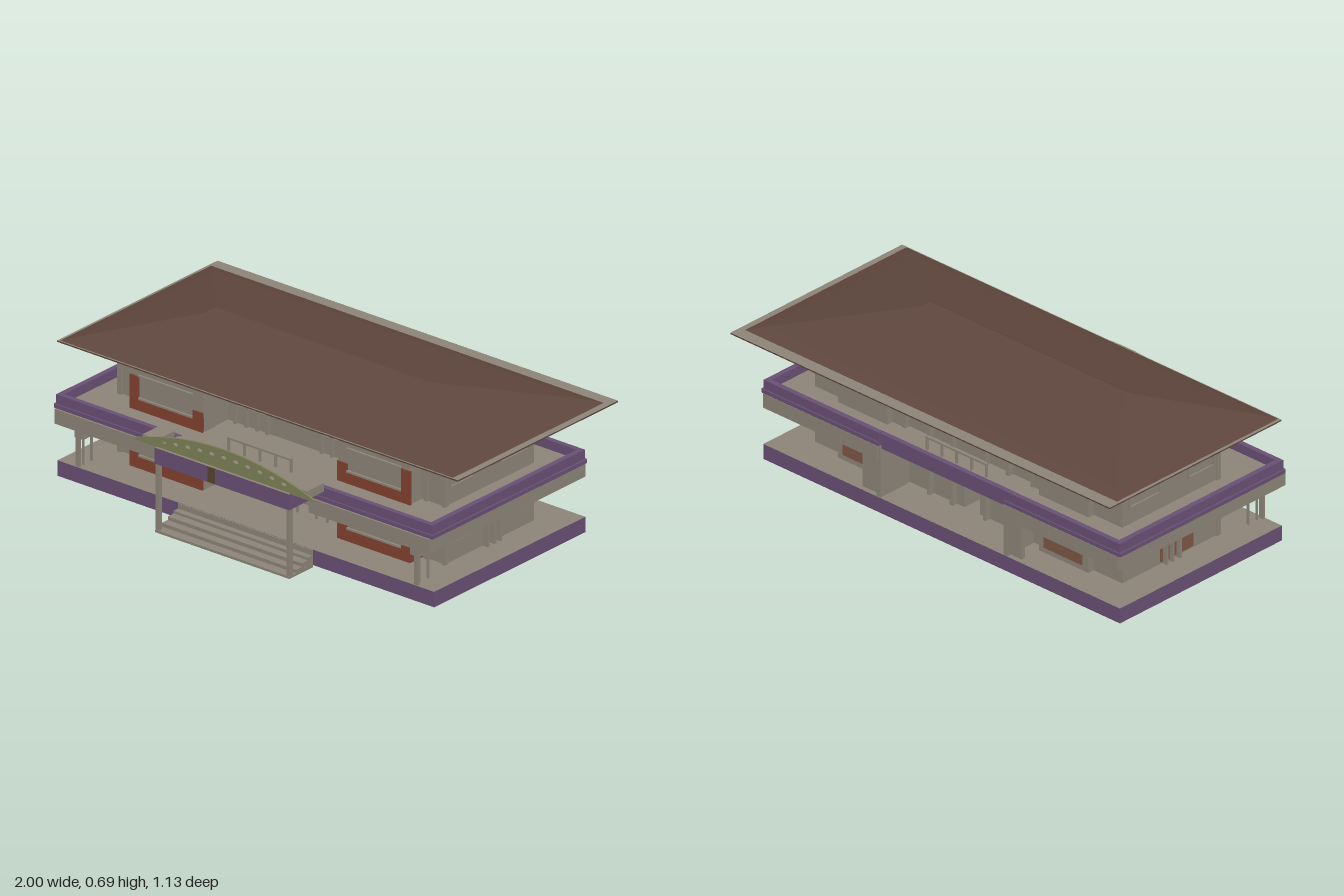
import * as THREE from 'three';

export function createModel() {
  const mat = (name, color, side = THREE.FrontSide) => {
    const m = new THREE.MeshStandardMaterial({ color, side });
    m.name = name;
    return m;
  };
  const stone = mat('stone grey', 0x8c8478);
  const purple = mat('purple trim', 0x694f74);
  const red = mat('brick red', 0x82402f);
  const brown = mat('roof brown', 0x5e463d, THREE.DoubleSide);
  const olive = mat('olive arch', 0x7d8158);
  const rust = mat('rust panel', 0x7e5645);
  const bark = mat('dark brown', 0x57432f);

  const model = new THREE.Group();
  model.name = 'villa';
  // The storeys sit slightly off the centre of the roof
  const house = new THREE.Group();
  house.name = 'house';
  house.position.x = -0.033;
  model.add(house);

  const add = (name, geo, m, parent = house) => {
    const mesh = new THREE.Mesh(geo, m);
    mesh.name = name;
    parent.add(mesh);
    return mesh;
  };
  // Box given by its extents
  const box = (name, m, x0, x1, y0, y1, z0, z1, parent = house) => {
    const mesh = add(name, new THREE.BoxGeometry(x1 - x0, y1 - y0, z1 - z0), m, parent);
    mesh.position.set((x0 + x1) / 2, (y0 + y1) / 2, (z0 + z1) / 2);
    return mesh;
  };
  // Same box on the left and the right
  const pair = (name, m, x0, x1, ...rest) => {
    box(name + 'Left', m, x0, x1, ...rest);
    box(name + 'Right', m, -x1, -x0, ...rest);
  };
  const banded = [purple, purple, stone, stone, purple, purple];

  // Plinth and front steps
  box('plinth', banded, -0.94, 0.94, 0.01, 0.075, -0.48, 0.42);
  box('plinthFrontPanel', stone, -0.335, 0.335, 0.01, 0.074, 0.418, 0.425);
  [[0.052, 0.45], [0.04, 0.485], [0.025, 0.52], [0.01, 0.56]].forEach(([h, z], i) =>
    box('step' + i, stone, -0.335, 0.335, 0, h, 0.42, z));

  // One storey of walls between y0 and y1
  const storey = (label, y0, y1, lower) => {
    const n = (s) => label + s;
    pair(n('SideWall'), stone, 0.34, 0.81, y0, y1, -0.33, 0.2);
    pair(n('CentreWall'), stone, lower ? 0.04 : 0, 0.34, y0, y1, -0.31, 0.12);
    if (lower) box('passageLintel', stone, -0.04, 0.04, 0.2, y1, -0.31, 0.12);

    // Front bays with red surround and framed window
    const r = y0 + 0.145, sill = y0 + 0.05;
    pair(n('FrontBay'), stone, 0.335, 0.695, y0, y1, 0.2, 0.272);
    if (lower) pair('bayFlank', red, 0.69, 0.7, y0, r - 0.03, 0.2, 0.274);
    pair(n('RedSill'), red, 0.335, 0.7, y0, sill, 0.27, 0.278);
    pair(n('RedOuterPost'), red, 0.655, 0.7, sill, r, 0.27, 0.278);
    pair(n('RedInnerPost'), red, 0.335, 0.385, sill, r - 0.06, 0.27, 0.278);
    pair(n('WindowTop'), stone, 0.385, 0.655, r, r + 0.008, 0.27, 0.282);
    pair(n('WindowBottom'), stone, 0.385, 0.655, sill, sill + 0.008, 0.27, 0.282);

    // Corner pilasters and panel frames on the set-back front
    for (const x of [0.71, 0.8]) pair(n('Pilaster'), stone, x, x + 0.018, y0, y1, 0.19, 0.21);
    for (const x of [0.13, 0.18, 0.235, 0.29])
      pair(n('PanelPost'), stone, x, x + 0.012, y0, y1, 0.12, 0.135);
    for (const k of [0.3, 0.6, 0.93])
      pair(n('PanelRail'), stone, 0.13, 0.3, y0 + (y1 - y0) * k, y0 + (y1 - y0) * k + 0.01, 0.12, 0.132);

    // Raised frames on the side walls
    for (const [za, zb] of [[-0.3, -0.13], [0.03, 0.17]]) {
      const a = y0 + 0.07, b = y1 - 0.045;
      for (const y of [a, b]) pair(n('SideFrameRail'), stone, 0.805, 0.817, y, y + 0.01, za, zb);
      for (const z of [za, zb]) pair(n('SideFramePost'), stone, 0.805, 0.817, a, b + 0.01, z, z + 0.01);
    }

    // Rear bays
    pair(n('RearBay'), stone, 0.4, 0.66, y0, y1, -0.36, -0.33);
    for (const x of [0.08, 0.2, 0.33]) pair(n('RearPost'), stone, x, x + 0.015, y0, y1, -0.335, -0.31);
  };
  storey('ground', 0.075, 0.3, true);
  storey('upper', 0.315, 0.558, false);

  // Ground floor extras: rear panels, fins, side door frames, gallery posts
  pair('rearPanel', rust, 0.43, 0.63, 0.1, 0.16, -0.366, -0.359);
  box('sidePanel', rust, -0.817, -0.809, 0.085, 0.17, -0.12, 0.06);
  pair('rearFin', stone, 0.325, 0.345, 0.075, 0.3, -0.478, -0.33);
  pair('rearScreen', stone, 0.345, 0.42, 0.09, 0.24, -0.478, -0.46);
  for (const z of [-0.11, -0.075, -0.035]) pair('doorPost', stone, 0.81, 0.835, 0.075, 0.2, z, z + 0.01);
  pair('doorLintel', stone, 0.81, 0.84, 0.195, 0.21, -0.115, -0.02);
  pair('galleryBeam', stone, 0.815, 0.86, 0.195, 0.245, 0.19, 0.415);
  for (const [z, t] of [[0.405, 0.01], [0.335, 0.005], [0.385, 0.004]])
    pair('galleryPost', stone, 0.835, 0.835 + t * 2, 0.075, 0.2, z, z + t);
  // Lobby posts and gate
  for (const x of [0.065, 0.16, 0.215]) pair('lobbyPost', stone, x, x + 0.008, 0.075, 0.24, 0.19, 0.198);
  box('lobbyRail', olive, -0.215, 0.215, 0.262, 0.27, 0.19, 0.198);

  // Upper deck: wing slabs, floor and purple parapet
  pair('wingSlab', stone, 0.335, 0.935, 0.24, 0.302, -0.488, 0.445);
  box('deckFloor', stone, -0.93, 0.93, 0.295, 0.318, -0.47, 0.425);
  pair('sideParapet', purple, 0.915, 0.938, 0.3, 0.357, -0.48, 0.43);
  pair('sideLip', purple, 0.93, 0.946, 0.302, 0.318, -0.484, 0.435);
  pair('frontParapet', purple, 0.33, 0.938, 0.3, 0.357, 0.408, 0.43);
  pair('frontLip', purple, 0.33, 0.94, 0.302, 0.318, 0.42, 0.437);
  pair('rearParapet', purple, 0.33, 0.938, 0.3, 0.357, -0.48, -0.458);
  pair('rearLip', purple, 0.33, 0.94, 0.302, 0.318, -0.486, -0.47);
  box('rearCentreParapet', purple, -0.335, 0.335, 0.288, 0.352, -0.472, -0.45);

  // Porch roof, columns and arched crest
  box('porchRoof', banded, -0.335, 0.335, 0.29, 0.357, 0.42, 0.563);
  pair('porchColumn', stone, 0.318, 0.335, 0, 0.292, 0.54, 0.558);
  pair('porchWingRail', stone, 0.335, 0.41, 0.35, 0.385, 0.445, 0.545);
  box('porchBadge', bark, -0.07, -0.035, 0.292, 0.357, 0.56, 0.566);
  const halfW = 0.45, rise = 0.085;
  const arch = new THREE.Shape();
  arch.moveTo(-halfW, 0);
  for (let i = 0; i <= 24; i++) {
    const t = -1 + i / 12;
    arch.lineTo(t * halfW, 0.005 + (rise - 0.005) * (1 - t * t));
  }
  arch.lineTo(halfW, 0);
  for (let i = -5; i <= 5; i++) {
    const x = i * 0.06, hole = new THREE.Path();
    hole.absellipse(x, 0.62 * rise * (1 - (x / halfW) ** 2), 0.012, 0.007, 0, Math.PI * 2, true);
    arch.holes.push(hole);
  }
  const archGeo = new THREE.ExtrudeGeometry(arch, { depth: 0.009, bevelEnabled: false, curveSegments: 5 });
  add('porchArch', archGeo, olive).position.set(0, 0.356, 0.542);

  // Balcony railings, front and rear
  for (const z of [0.33, -0.4]) {
    box('balconyRail', stone, -0.16, 0.16, 0.368, 0.376, z, z + 0.012);
    for (let i = 0; i <= 4; i++) {
      const x = -0.16 + i * 0.078;
      box('balconyPost', stone, x, x + 0.008, 0.315, 0.37, z, z + 0.01);
    }
  }

  // Eave plate
  box('eavePlate', [brown, brown, stone, brown, brown, brown], -1, 1, 0.555, 0.561, -0.565, 0.39, model);

  // Hipped roof from rectangular rings: x0, x1, z0, z1, y
  const rings = [
    [-0.988, 0.972, -0.512, 0.385, 0.562],
    [-0.935, 0.915, -0.462, 0.338, 0.578],
    [-0.58, 0.48, -0.05, 0.005, 0.668],
    [-0.56, 0.46, -0.028, -0.02, 0.685],
  ];
  const pos = [];
  const corners = rings.map(([x0, x1, z0, z1, y]) => [[x0, y, z1], [x1, y, z1], [x1, y, z0], [x0, y, z0]]);
  const quad = (a, b, c, d) => pos.push(...a, ...b, ...c, ...a, ...c, ...d);
  for (let r = 0; r < rings.length - 1; r++)
    for (let k = 0; k < 4; k++) {
      const j = (k + 1) % 4;
      quad(corners[r][k], corners[r][j], corners[r + 1][j], corners[r + 1][k]);
    }
  quad(...corners[rings.length - 1]);
  const roofGeo = new THREE.BufferGeometry();
  roofGeo.setAttribute('position', new THREE.Float32BufferAttribute(pos, 3));
  roofGeo.computeVertexNormals();
  add('roof', roofGeo, brown, model);

  return model;
}
